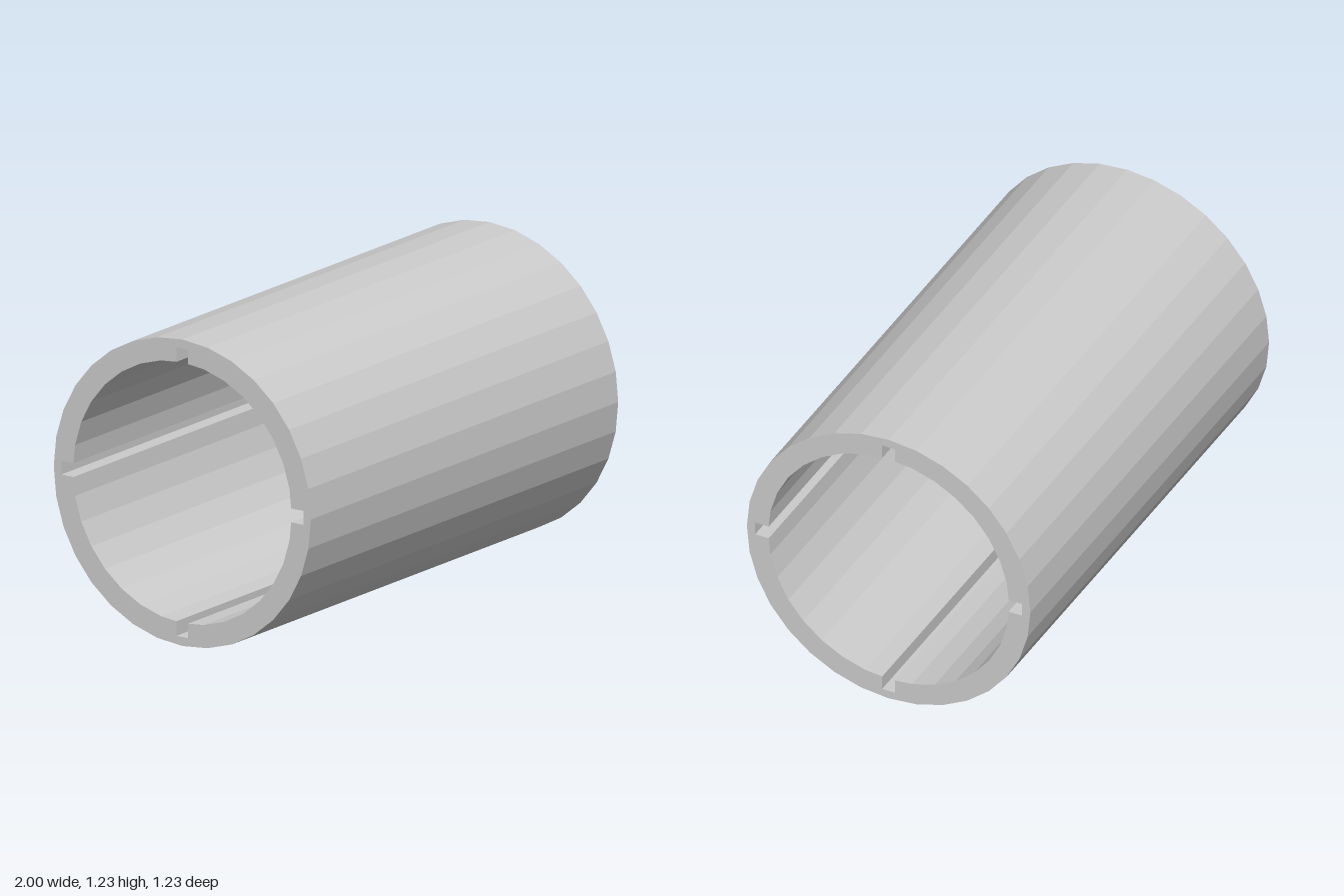
import * as THREE from 'three';

const SIDES = 32;
const OUTER = 0.617;
const INNER = 0.525;
const SLOT_RADIUS = 0.581;   // distance from axis to slot floor
const SLOT_HALF = 0.028;     // half the slot width
const LENGTH = 2;

// Point given along / across a direction
function polar(angle, along, across = 0) {
  const c = Math.cos(angle), s = Math.sin(angle);
  return new THREE.Vector2(along * c - across * s, along * s + across * c);
}

export function createModel() {
  const group = new THREE.Group();
  group.name = 'slottedTube';
  const step = (Math.PI * 2) / SIDES;

  // Faceted outer wall
  const outline = [];
  for (let i = 0; i < SIDES; i++) outline.push(polar(i * step, OUTER));
  const shape = new THREE.Shape(outline);

  // Faceted bore with a square keyway in each quarter
  const bore = [];
  const lip = INNER - SLOT_HALF * Math.tan(step / 2);
  for (let q = 0; q < 4; q++) {
    const a = (q * Math.PI) / 2;
    bore.push(
      polar(a, lip, -SLOT_HALF),
      polar(a, SLOT_RADIUS, -SLOT_HALF),
      polar(a, SLOT_RADIUS, SLOT_HALF),
      polar(a, lip, SLOT_HALF)
    );
    for (let i = 1; i < SIDES / 4; i++) bore.push(polar(a + i * step, INNER));
  }
  shape.holes.push(new THREE.Path(bore));

  // Run the section along x
  const geometry = new THREE.ExtrudeGeometry(shape, { depth: LENGTH, bevelEnabled: false });
  geometry.translate(0, 0, -LENGTH / 2);
  geometry.rotateY(Math.PI / 2);
  geometry.translate(0, OUTER, 0);

  const tube = new THREE.Mesh(
    geometry,
    new THREE.MeshStandardMaterial({ color: 0xcccccc, flatShading: true })
  );
  tube.name = 'tube';
  group.add(tube);
  return group;
}
